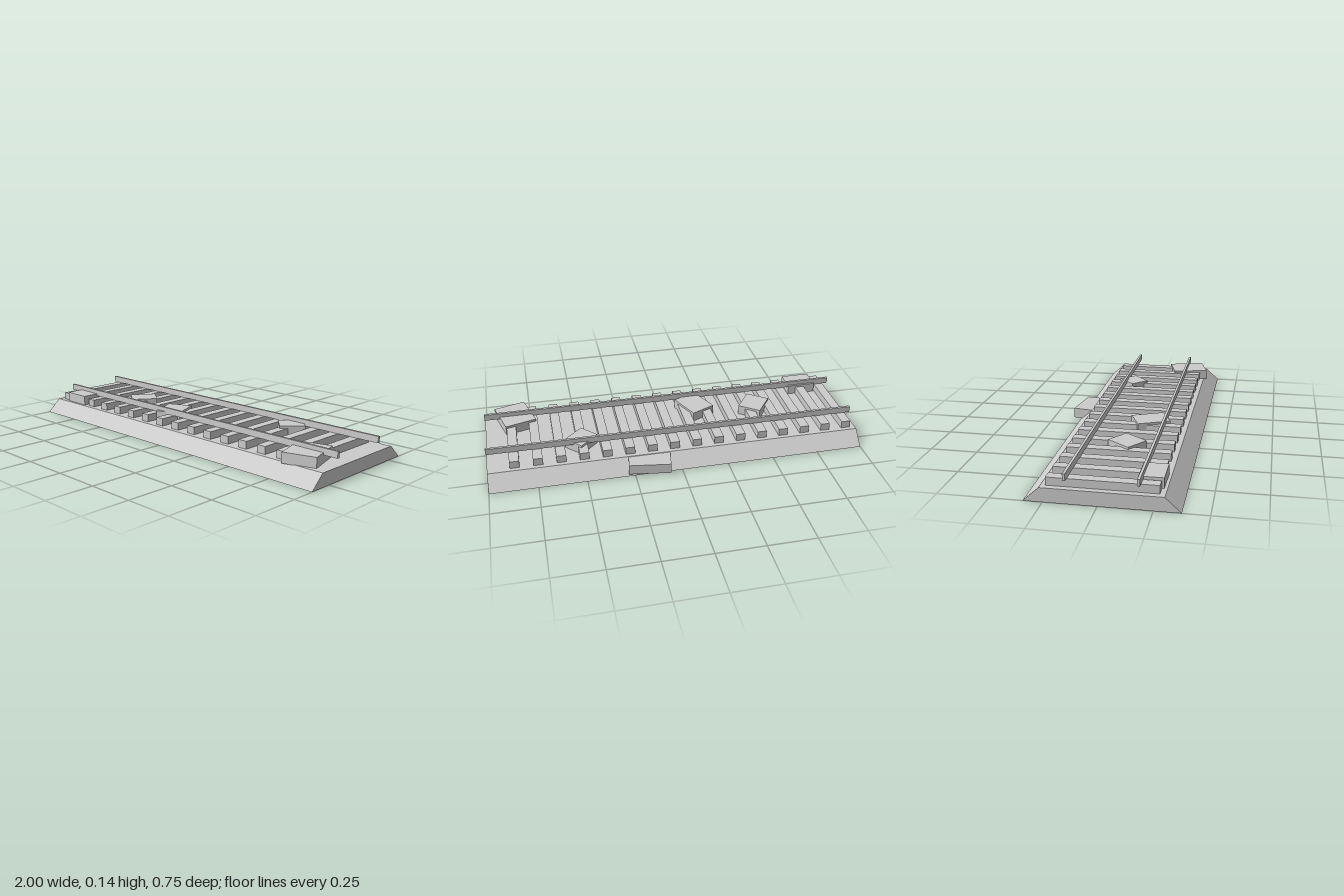
import * as THREE from 'three';

export function createModel() {
  const group = new THREE.Group();
  const grey = new THREE.MeshStandardMaterial({ color: 0xcccccc });
  grey.name = 'grey';

  // Box given by its centre, size and turn about the vertical axis
  function box(name, [x, y, z], [w, h, d], turn = 0) {
    const mesh = new THREE.Mesh(new THREE.BoxGeometry(w, h, d), grey);
    mesh.name = name;
    mesh.position.set(x, y, z);
    mesh.rotation.y = turn;
    group.add(mesh);
  }

  // Ballast bed: trapezoid section swept along x (shape x becomes -z)
  const section = new THREE.Shape([
    [-0.375, 0], [0.342, 0], [0.265, 0.07], [-0.3, 0.07],
  ].map(([a, b]) => new THREE.Vector2(a, b)));
  const bedGeometry = new THREE.ExtrudeGeometry(section, { depth: 2, bevelEnabled: false });
  bedGeometry.translate(0, 0, -1).rotateY(Math.PI / 2);
  const bed = new THREE.Mesh(bedGeometry, grey);
  bed.name = 'ballastBed';
  group.add(bed);

  // Sleepers
  for (let i = 0; i < 16; i++) {
    box('sleeper', [-0.945 + i * 0.1203, 0.089, 0.0165], [0.05, 0.042, 0.517]);
  }

  // Rails
  for (const z of [0.185, -0.149]) box('rail', [0, 0.128, z], [2, 0.034, 0.013]);

  // Stone slabs: x, y, z, width, depth, turn
  const stones = [
    [-0.835, 0.095, 0.227, 0.158, 0.118, 0],
    [-0.5, 0.095, 0.041, 0.127, 0.145, -0.635],
    [-0.167, 0.095, 0.106, 0.139, 0.177, 0.42],
    [0.5, 0.095, -0.106, 0.113, 0.132, -0.8],
    [0.833, 0.095, 0.195, 0.172, 0.205, 0.275],
    [0.163, 0.0405, -0.273, 0.22, 0.175, -0.145],
  ];
  for (const [x, y, z, w, d, turn] of stones) box('stone', [x, y, z], [w, 0.055, d], turn);

  return group;
}
